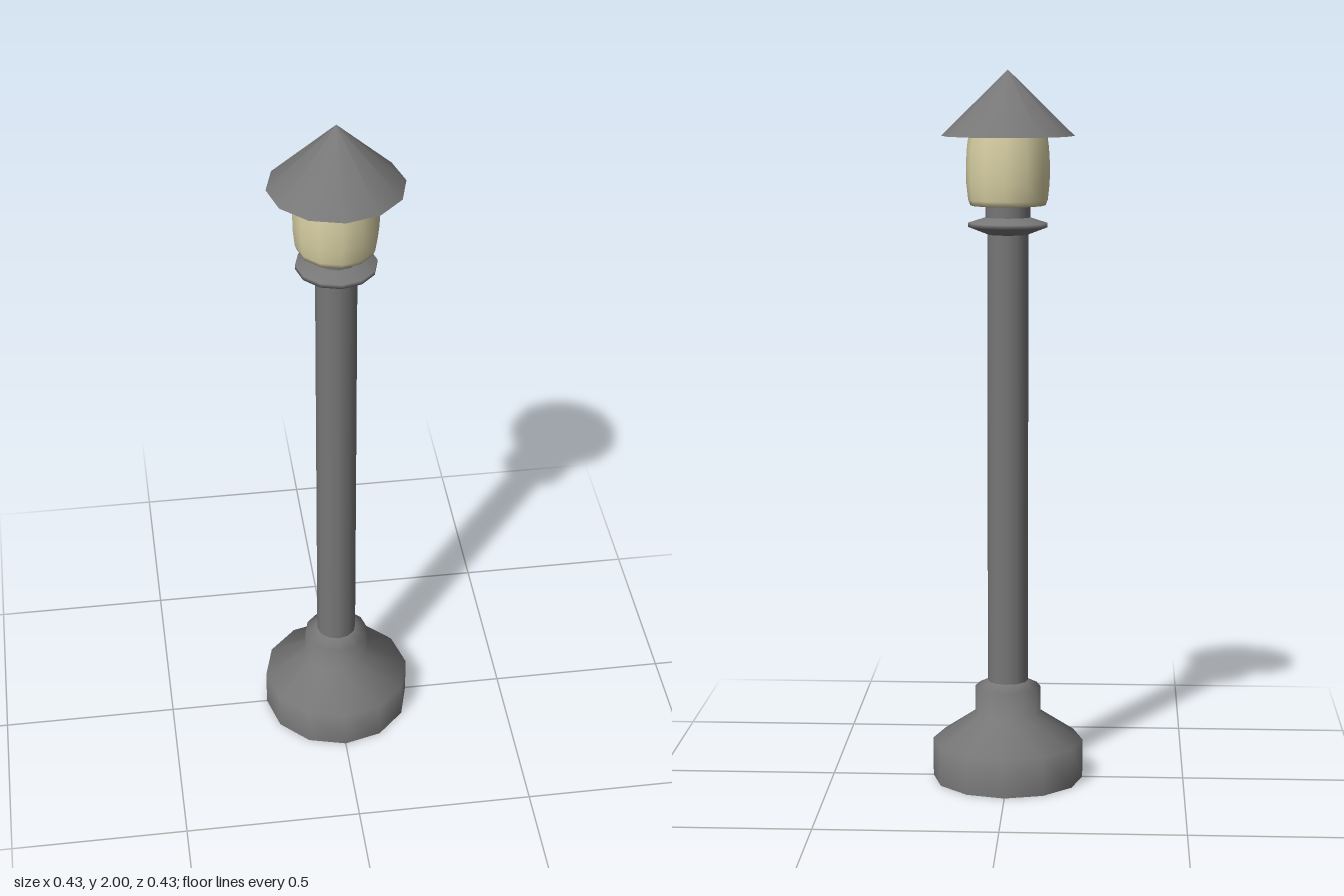
import * as THREE from 'three';

const SIDES = 12;

// Revolves [radius, height] pairs; a repeated pair makes a sharp edge.
function turned(name, profile, material) {
  const points = profile.map(([r, y]) => new THREE.Vector2(r, y));
  const mesh = new THREE.Mesh(new THREE.LatheGeometry(points, SIDES), material);
  mesh.name = name;
  return mesh;
}

export function createModel() {
  const model = new THREE.Group();
  model.name = 'lampPost';
  const metal = new THREE.MeshStandardMaterial({ color: 0x777777 });
  const glass = new THREE.MeshStandardMaterial({ color: 0xd8d0a4 });

  // Wide foot with sloped shoulder and raised socket
  model.add(turned('base', [
    [0, 0], [0.213, 0], [0.213, 0], [0.213, 0.11], [0.093, 0.19],
    [0.093, 0.265], [0.057, 0.283],
  ], metal));

  // Straight shaft
  model.add(turned('shaft', [[0.057, 0.28], [0.057, 1.555]], metal));

  // Flared collar and the neck carrying the lamp
  model.add(turned('collar', [
    [0.057, 1.55], [0.11, 1.57], [0.11, 1.582], [0.062, 1.597],
    [0.062, 1.597], [0.062, 1.632],
  ], metal));

  // Barrel-shaped lamp
  model.add(turned('lamp', [
    [0, 1.63], [0.104, 1.63], [0.11, 1.645], [0.115, 1.69],
    [0.116, 1.74], [0.113, 1.79], [0.108, 1.825],
  ], glass));

  // Conical roof, closed underneath
  model.add(turned('roof', [
    [0, 1.82], [0.184, 1.82], [0.184, 1.82], [0, 2],
  ], metal));

  return model;
}
